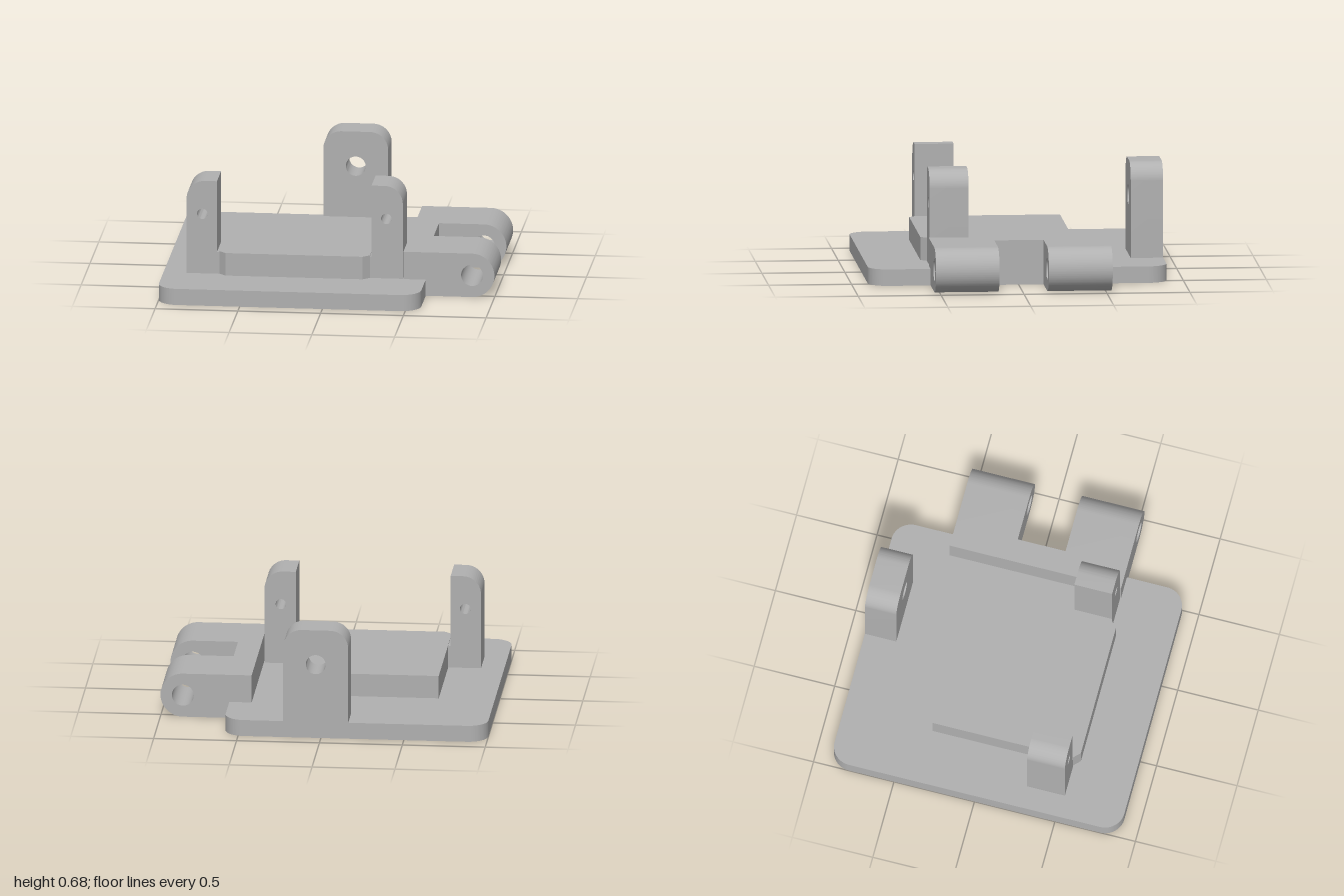
import * as THREE from 'three';
import { toCreasedNormals } from 'three/addons/utils/BufferGeometryUtils.js';

const grey = new THREE.MeshStandardMaterial({ color: 0xb0b0b0 });
grey.name = 'plain grey';

// Rectangle with its own radius at each corner: bottom left, bottom right, top right, top left
function roundedRect(x0, x1, y0, y1, [bl, br, tr, tl]) {
  const s = new THREE.Shape();
  const corner = (x, y, r, a) => {
    if (r > 0) s.absarc(x, y, r, a, a + Math.PI / 2, false);
    else s.lineTo(x, y);
  };
  s.moveTo(x0 + bl, y0);
  corner(x1 - br, y0 + br, br, -Math.PI / 2);
  corner(x1 - tr, y1 - tr, tr, 0);
  corner(x0 + tl, y1 - tl, tl, Math.PI / 2);
  corner(x0 + bl, y0 + bl, bl, Math.PI);
  return s;
}

function drill(shape, x, y, r) {
  shape.holes.push(new THREE.Path().absarc(x, y, r, 0, Math.PI * 2, true));
  return shape;
}

function extrude(shape, depth) {
  return new THREE.ExtrudeGeometry(shape, { depth, bevelEnabled: false, curveSegments: 18 });
}

export function createModel() {
  const group = new THREE.Group();
  const add = (name, geometry) => {
    const mesh = new THREE.Mesh(toCreasedNormals(geometry, 0.5), grey);
    mesh.name = name;
    group.add(mesh);
  };
  // Upright profile in x and y, running from z0 to z1
  const upright = (name, shape, z0, z1) => add(name, extrude(shape, z1 - z0).translate(0, 0, z0));
  // Plan outline in x and -z, running from y0 to y1
  const slab = (name, shape, y0, y1) =>
    add(name, extrude(shape, y1 - y0).rotateX(-Math.PI / 2).translate(0, y0, 0));
  const box = (name, x0, x1, y0, y1, z0, z1) =>
    add(name, new THREE.BoxGeometry(x1 - x0, y1 - y0, z1 - z0)
      .translate((x0 + x1) / 2, (y0 + y1) / 2, (z0 + z1) / 2));

  // Base plate with rounded corners
  slab('basePlate', roundedRect(-1, 0.585, -0.9, 0.9, [0.12, 0.12, 0.12, 0.12]), 0, 0.1);

  // Raised pad with two chamfered front corners
  const pad = new THREE.Shape([
    [-0.662, 0.35], [-0.662, -0.522], [-0.622, -0.562],
    [0.208, -0.562], [0.248, -0.522], [0.248, 0.35],
  ].map(([x, y]) => new THREE.Vector2(x, y)));
  slab('raisedPad', pad, 0.1, 0.24);

  // Front posts, rounded on their outer top corner
  upright('rightPost', drill(roundedRect(-0.86, -0.677, 0.1, 0.675, [0, 0, 0, 0.11]), -0.765, 0.47, 0.032), 0.29, 0.525);
  upright('leftPost', drill(roundedRect(0.257, 0.446, 0.1, 0.675, [0, 0, 0.11, 0]), 0.347, 0.47, 0.032), 0.29, 0.525);

  // Low fillers joining the posts to the pad
  box('rightPostFoot', -0.677, -0.662, 0.1, 0.235, 0.29, 0.525);
  box('leftPostFoot', 0.248, 0.257, 0.1, 0.235, 0.29, 0.525);

  // Rear lug with a larger hole
  upright('rearLug', drill(roundedRect(-0.165, 0.227, 0.1, 0.675, [0, 0, 0.11, 0.11]), 0.031, 0.46, 0.06), -0.9, -0.705);

  // Hinge: two rounded arms and the bridge between them
  for (const [name, z0, z1] of [['rearHingeArm', -0.535, -0.15], ['frontHingeArm', 0.147, 0.53]]) {
    const arm = roundedRect(0.45, 1, 0, 0.27, [0, 0.135, 0.135, 0]);
    upright(name, drill(arm, 0.865, 0.135, 0.066), z0, z1);
  }
  box('hingeBridge', 0.45, 0.593, 0, 0.27, -0.15, 0.147);

  return group;
}
